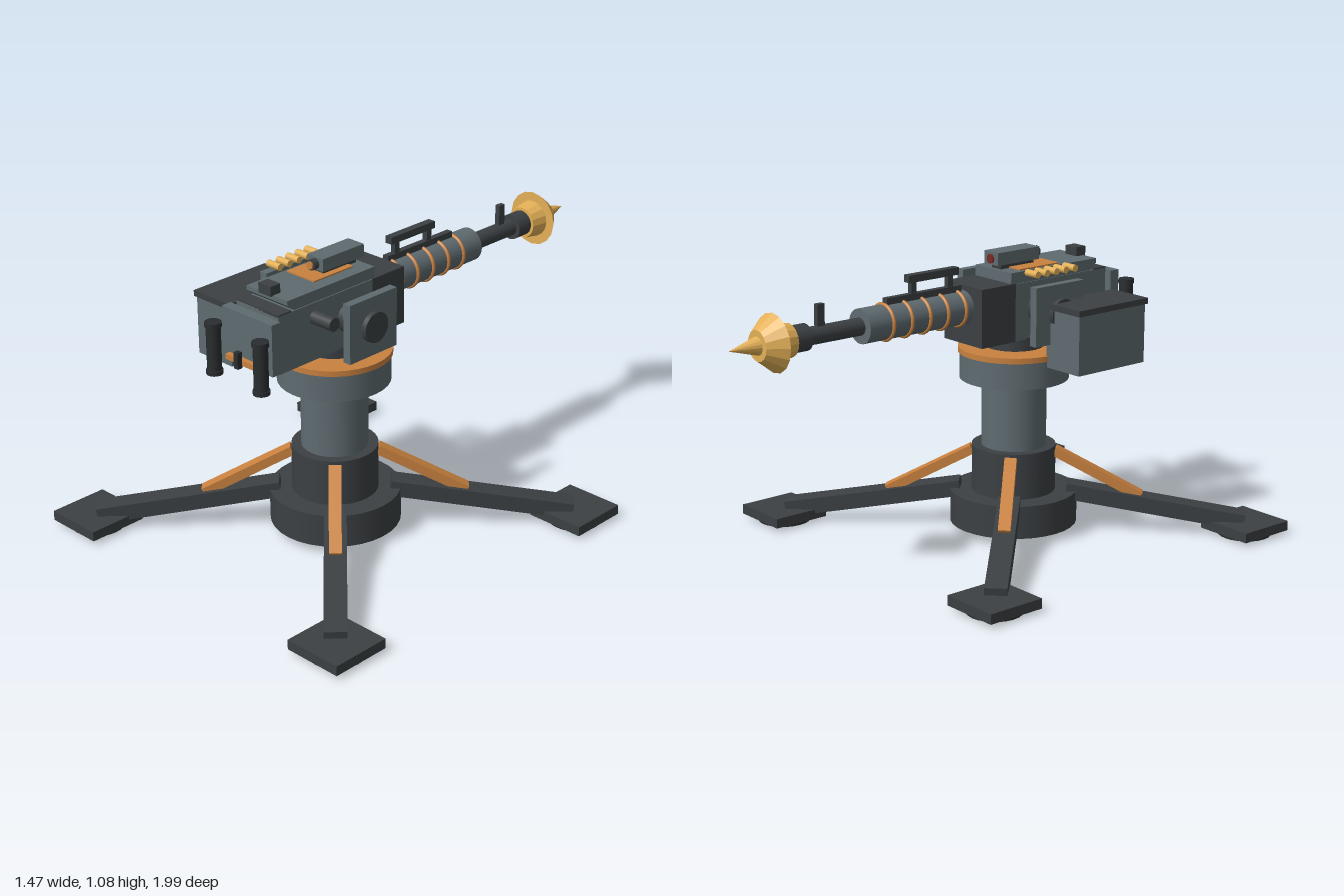
import * as THREE from 'three';

const mat = (color) => new THREE.MeshStandardMaterial({ color });

export function createModel() {
  const model = new THREE.Group();
  const dark = mat(0x3c4043), grey = mat(0x5f6b70), black = mat(0x2a2d2f);
  const orange = mat(0xc8813f), brass = mat(0xe3b057), red = mat(0x7a2a25);

  const add = (name, geo, material, x, y, z, parent = model) => {
    const m = new THREE.Mesh(geo, material);
    m.name = name;
    m.position.set(x, y, z);
    parent.add(m);
    return m;
  };
  // Box given by its extents on each axis
  const box = (name, material, [x0, x1], [y0, y1], [z0, z1], parent) =>
    add(name, new THREE.BoxGeometry(x1 - x0, y1 - y0, z1 - z0), material,
      (x0 + x1) / 2, (y0 + y1) / 2, (z0 + z1) / 2, parent);
  // Upright cylinder between two heights
  const post = (name, material, r, y0, y1, x, z, n = 32, parent = model) =>
    add(name, new THREE.CylinderGeometry(r, r, y1 - y0, n), material, x, (y0 + y1) / 2, z, parent);
  // Cylinder along x
  const axle = (name, material, r, x0, x1, y, z, n = 24) => {
    const m = add(name, new THREE.CylinderGeometry(r, r, x1 - x0, n), material, (x0 + x1) / 2, y, z);
    m.rotation.z = Math.PI / 2;
    return m;
  };
  // Cylinder along z
  const rod = (name, material, r, z0, z1, x, y, n = 24) => {
    const m = add(name, new THREE.CylinderGeometry(r, r, z1 - z0, n), material, x, y, (z0 + z1) / 2);
    m.rotation.x = Math.PI / 2;
    return m;
  };

  // Pedestal
  const cz = 0.26;
  post('base', dark, 0.24, 0.03, 0.155, 0, cz);
  post('collar', dark, 0.158, 0.155, 0.33, 0, cz);
  post('column', grey, 0.122, 0.33, 0.59, 0, cz);
  post('turntable', grey, 0.205, 0.59, 0.692, 0, cz);
  post('turntableRing', orange, 0.211, 0.69, 0.711, 0, cz);
  post('swivel', dark, 0.11, 0.711, 0.76, 0, cz);

  // Four legs with braces and feet
  const beam = (name, material, w, h, r0, y0, r1, y1, parent) => {
    const m = add(name, new THREE.BoxGeometry(Math.hypot(r1 - r0, y1 - y0), h, w), material,
      (r0 + r1) / 2, (y0 + y1) / 2, 0, parent);
    m.rotation.z = Math.atan2(y1 - y0, r1 - r0);
  };
  for (let i = 0; i < 4; i++) {
    const angle = Math.PI / 4 + i * Math.PI / 2;
    const leg = new THREE.Group();
    leg.name = 'leg';
    leg.position.z = cz;
    leg.rotation.y = angle;
    model.add(leg);
    beam('legBeam', dark, 0.08, 0.06, 0.2, 0.155, 0.87, 0.05, leg);
    beam('legBrace', orange, 0.045, 0.035, 0.155, 0.305, 0.48, 0.135, leg);
    const fx = 0.62 * Math.sign(Math.cos(angle)), fz = cz - 0.62 * Math.sign(Math.sin(angle)) - 0.005;
    box('foot', dark, [fx - 0.114, fx + 0.114], [0.015, 0.052], [fz - 0.114, fz + 0.114]);
    post('footPad', black, 0.1, 0, 0.016, fx, fz, 24);
  }

  // Receiver
  box('receiver', grey, [-0.104, 0.104], [0.756, 0.97], [0.17, 0.62]);
  box('receiverRearTop', dark, [-0.104, 0.104], [0.965, 0.975], [0.56, 0.62]);
  box('frontBlock', dark, [-0.106, 0.106], [0.755, 0.972], [0.012, 0.172]);

  // Top cover with a sloped rear underside
  const side = new THREE.Shape([[0.155, 0.968], [0.54, 0.968], [0.575, 0.995], [0.575, 1.012], [0.155, 1.012]]
    .map(([z, y]) => new THREE.Vector2(-z, y)));
  const coverGeo = new THREE.ExtrudeGeometry(side, { depth: 0.2, bevelEnabled: false });
  coverGeo.rotateY(Math.PI / 2);
  add('topCover', coverGeo, grey, -0.1, 0, 0);
  box('coverPlate', orange, [-0.085, 0.05], [1.01, 1.017], [0.21, 0.4]);
  box('rearSight', dark, [-0.03, 0.03], [1.01, 1.046], [0.54, 0.585]);

  // Optic
  box('opticMount', dark, [-0.025, 0.025], [1.01, 1.035], [0.17, 0.33]);
  box('opticBody', grey, [-0.038, 0.038], [1.03, 1.077], [0.145, 0.345]);
  rod('opticEyepiece', dark, 0.02, 0.34, 0.368, 0, 1.052, 16);
  rod('opticRearLens', orange, 0.014, 0.366, 0.374, 0, 1.052, 16);
  rod('opticFrontLens', red, 0.017, 0.138, 0.15, 0, 1.052, 16);

  // Back plate, trigger and grips
  box('backPlate', grey, [-0.123, 0.123], [0.77, 0.96], [0.63, 0.67]);
  box('backPlateSpacer', dark, [-0.08, 0.08], [0.79, 0.94], [0.615, 0.635]);
  box('gripBar', orange, [-0.09, 0.09], [0.777, 0.797], [0.665, 0.69]);
  box('trigger', black, [-0.01, 0.01], [0.78, 0.84], [0.705, 0.725]);
  for (const s of [-1, 1]) {
    post('grip', black, 0.026, 0.735, 0.905, s * 0.117, 0.718, 16);
    post('gripTopCap', black, 0.03, 0.9, 0.917, s * 0.117, 0.718, 16);
    post('gripBottomCap', black, 0.03, 0.724, 0.74, s * 0.117, 0.718, 16);
    // Side cradle plates
    box('sidePlate', grey, [s * 0.205 - 0.016, s * 0.205 + 0.016], [0.756, 0.975], [0.17, 0.4]);
  }
  axle('trunnion', dark, 0.056, -0.24, 0.24, 0.866, 0.288);
  axle('chargingHandle', dark, 0.025, 0.1, 0.2, 0.917, 0.452, 16);

  // Ammunition box and belt rounds
  box('ammoBox', grey, [-0.373, -0.2], [0.668, 0.892], [0.24, 0.565]);
  box('ammoLid', dark, [-0.38, -0.195], [0.888, 0.91], [0.232, 0.573]);
  for (let i = 0; i < 5; i++)
    axle('round', brass, 0.013, -0.188, -0.128, 1.013, 0.207 + i * 0.0455, 12);

  // Barrel, jacket and cooling rings
  const by = 0.892;
  rod('barrelJacket', grey, 0.063, -0.455, 0.02, 0, by);
  for (let i = 0; i < 5; i++)
    add('jacketRing', new THREE.TorusGeometry(0.064, 0.007, 8, 32), orange, 0, by, -0.025 - i * 0.082);
  rod('barrel', dark, 0.032, -0.76, -0.45, 0, by);
  rod('barrelCollar', dark, 0.048, -0.757, -0.688, 0, by);
  box('frontSight', dark, [-0.01, 0.01], [0.92, 1.0], [-0.642, -0.612]);

  // Carry handle on a rail
  box('handleRail', dark, [-0.012, 0.012], [0.945, 0.977], [-0.345, -0.005]);
  box('handleBar', dark, [-0.015, 0.015], [1.018, 1.045], [-0.247, -0.02]);
  for (const z of [-0.055, -0.222])
    box('handlePost', dark, [-0.01, 0.01], [0.96, 1.025], [z - 0.012, z + 0.012]);

  // Brass muzzle: cup, flared flange and spike
  const profile = [[0, 0.755], [0.06, 0.755], [0.07, 0.82], [0.105, 0.82], [0.055, 0.885], [0.033, 0.885], [0, 1]]
    .map(([r, d]) => new THREE.Vector2(r, d));
  const muzzleMat = brass.clone();
  muzzleMat.flatShading = true;
  const muzzle = add('muzzle', new THREE.LatheGeometry(profile, 16), muzzleMat, 0, by, 0);
  muzzle.rotation.x = -Math.PI / 2;

  return model;
}
